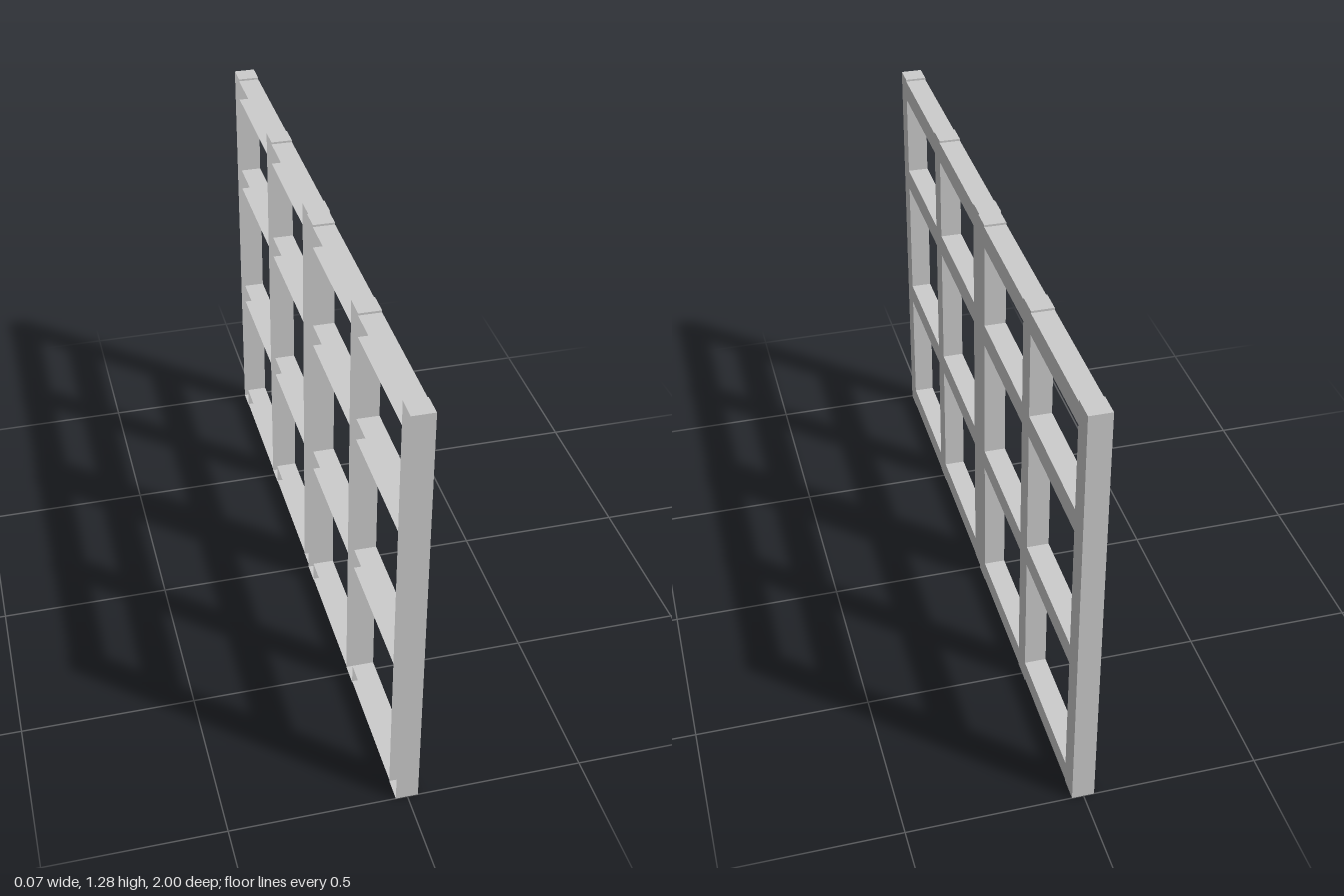
import * as THREE from 'three';

const material = new THREE.MeshStandardMaterial({ color: 0xcccccc, side: THREE.DoubleSide });
const DEPTH = 0.063;

// Hollow bar: a box open on its -x side, spanning y0..y1 and z0..z1.
// A bar without ends is also open at both z ends, where it meets the posts.
function channel(name, y0, y1, z0, z1, ends) {
  const geo = new THREE.BoxGeometry(DEPTH, y1 - y0, z1 - z0);
  const idx = Array.from(geo.index.array);
  const faces = ends ? [0, 2, 3, 4, 5] : [0, 2, 3]; // order: +x -x +y -y +z -z
  geo.setIndex(faces.flatMap((f) => idx.slice(f * 6, f * 6 + 6)));
  geo.clearGroups();
  const mesh = new THREE.Mesh(geo, material);
  mesh.name = name;
  mesh.position.set(0, (y0 + y1) / 2, (z0 + z1) / 2);
  return mesh;
}

// One lattice panel, spanning z = 0..1
function panel(name) {
  const group = new THREE.Group();
  group.name = name;
  const posts = [[0, 0.067], [0.473, 0.54], [0.935, 1]];
  const bars = [[0.005, 0.067], [0.444, 0.508], [0.888, 0.955], [1.21, 1.274]];

  // upright posts
  for (const [z0, z1] of posts) group.add(channel('post', 0, 1.28, z0, z1, true));

  // rails between neighbouring posts
  for (const [y0, y1] of bars) {
    for (let i = 0; i < posts.length - 1; i++) {
      group.add(channel('rail', y0, y1, posts[i][1], posts[i + 1][0], false));
    }
  }
  return group;
}

export function createModel() {
  const model = new THREE.Group();
  model.name = 'latticeFrame';

  // two equal panels end to end, very slightly staggered in x
  const front = panel('frontPanel');
  front.position.set(-0.0015, 0, 0);
  const back = panel('backPanel');
  back.position.set(0.0015, 0, -1);
  model.add(front, back);
  return model;
}
